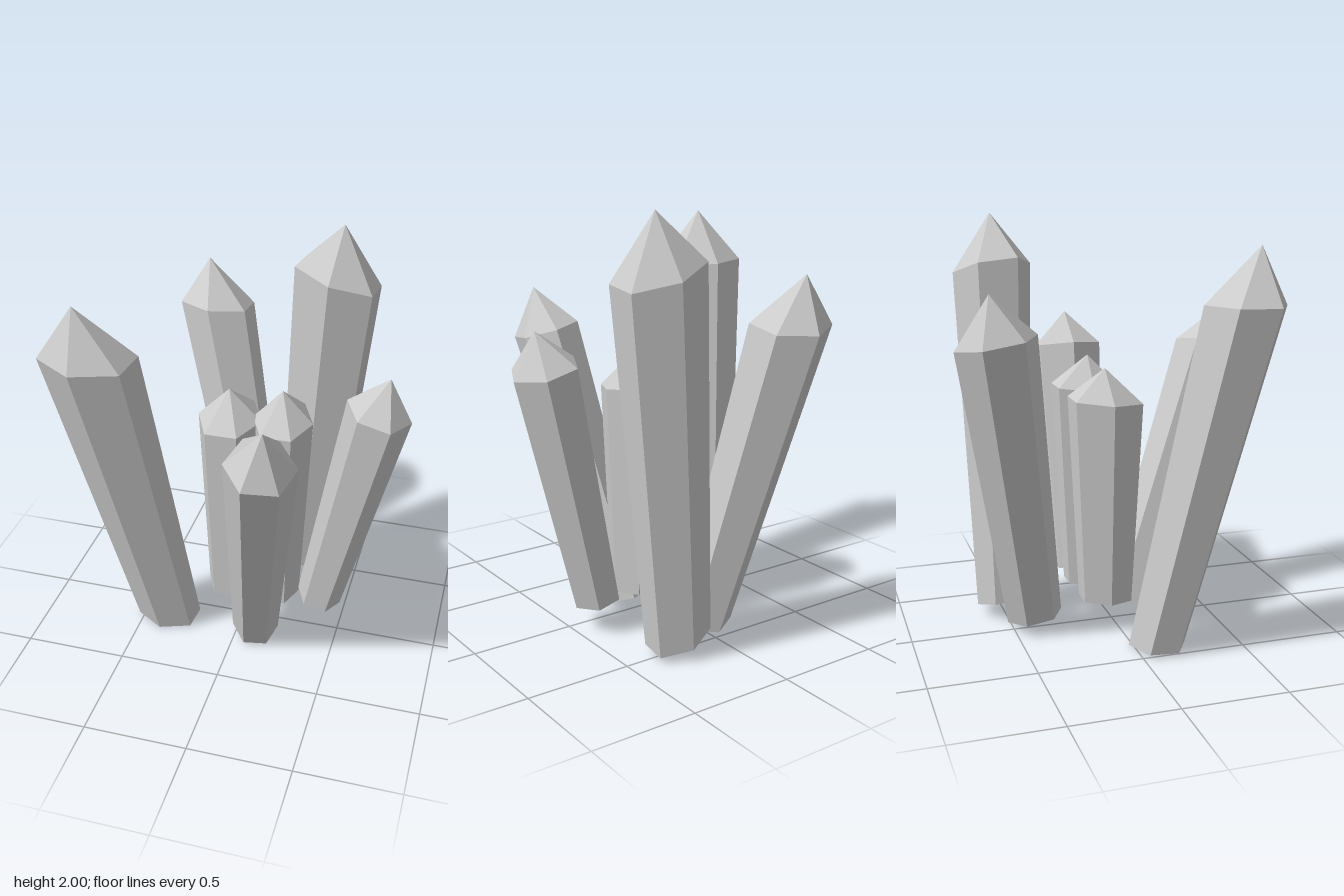
import * as THREE from 'three';

// Each crystal: base centre, shoulder centre, tip, and two neighbouring
// corners (u, v) of its shoulder hexagon, relative to the shoulder centre.
const CRYSTALS = [
  { name: 'leftFrontTallCrystal', base: [-0.375, 0.01, 0.11], shoulder: [-0.587, 1.64, 0.427], tip: [-0.62, 1.9, 0.48], u: [0.187, -0.01, 0.108], v: [-0.018, -0.004, 0.188] },
  { name: 'rightBackTallCrystal', base: [0.22, 0.07, -0.5], shoulder: [0.33, 1.74, -0.502], tip: [0.35, 2, -0.503], u: [0.183, -0.044, 0.1], v: [-0.014, 0.019, 0.187] },
  { name: 'leftBackCrystal', base: [0, 0.063, -0.395], shoulder: [-0.308, 1.48, -0.617], tip: [-0.36, 1.7, -0.655], u: [0.165, 0.006, 0.092], v: [0, 0.03, 0.186] },
  { name: 'centreLeftShortCrystal', base: [-0.089, 0.15, -0.06], shoulder: [-0.088, 1.145, -0.057], tip: [-0.09, 1.3, -0.06], u: [0.157, 0, 0], v: [0.078, -0.014, 0.163] },
  { name: 'centreRightShortCrystal', base: [0.17, 0.15, -0.07], shoulder: [0.172, 1.16, -0.073], tip: [0.17, 1.32, -0.07], u: [0.147, 0, 0], v: [0.076, -0.014, 0.161] },
  { name: 'frontLeaningCrystal', base: [0.095, 0.035, 0.125], shoulder: [0.24, 1.333, 0.615], tip: [0.265, 1.54, 0.69], u: [0.112, -0.047, 0.125], v: [-0.04, -0.024, 0.18] },
  { name: 'rightLeaningCrystal', base: [0.385, 0.148, -0.065], shoulder: [0.632, 1.29, -0.053], tip: [0.675, 1.465, -0.05], u: [0.153, -0.04, 0], v: [0.077, -0.02, 0.16] },
];
const BASE_SCALE = 0.72; // prisms narrow towards the bottom

// Six corners of a hexagon spanned by u and v
function hexRing(centre, u, v, scale) {
  const w = v.clone().sub(u);
  const half = [u, v, w];
  return [...half, ...half.map((p) => p.clone().negate())]
    .map((p) => p.clone().multiplyScalar(scale).add(centre));
}

function crystalGeometry(spec) {
  const vec = (key) => new THREE.Vector3(...spec[key]);
  const base = vec('base'), tip = vec('tip');
  const bottom = hexRing(base, vec('u'), vec('v'), BASE_SCALE);
  const top = hexRing(vec('shoulder'), vec('u'), vec('v'), 1);
  const points = [];
  for (let i = 0; i < 6; i++) {
    const j = (i + 1) % 6;
    points.push(bottom[i], top[i], top[j]); // side
    points.push(bottom[i], top[j], bottom[j]);
    points.push(top[i], tip, top[j]); // point
    points.push(base, bottom[i], bottom[j]); // underside
  }
  const geometry = new THREE.BufferGeometry().setFromPoints(points);
  geometry.computeVertexNormals();
  return geometry;
}

export function createModel() {
  const group = new THREE.Group();
  group.name = 'crystalCluster';
  const material = new THREE.MeshStandardMaterial({ color: 0xcccccc, flatShading: true });
  for (const spec of CRYSTALS) {
    const mesh = new THREE.Mesh(crystalGeometry(spec), material);
    mesh.name = spec.name;
    group.add(mesh);
  }
  return group;
}
